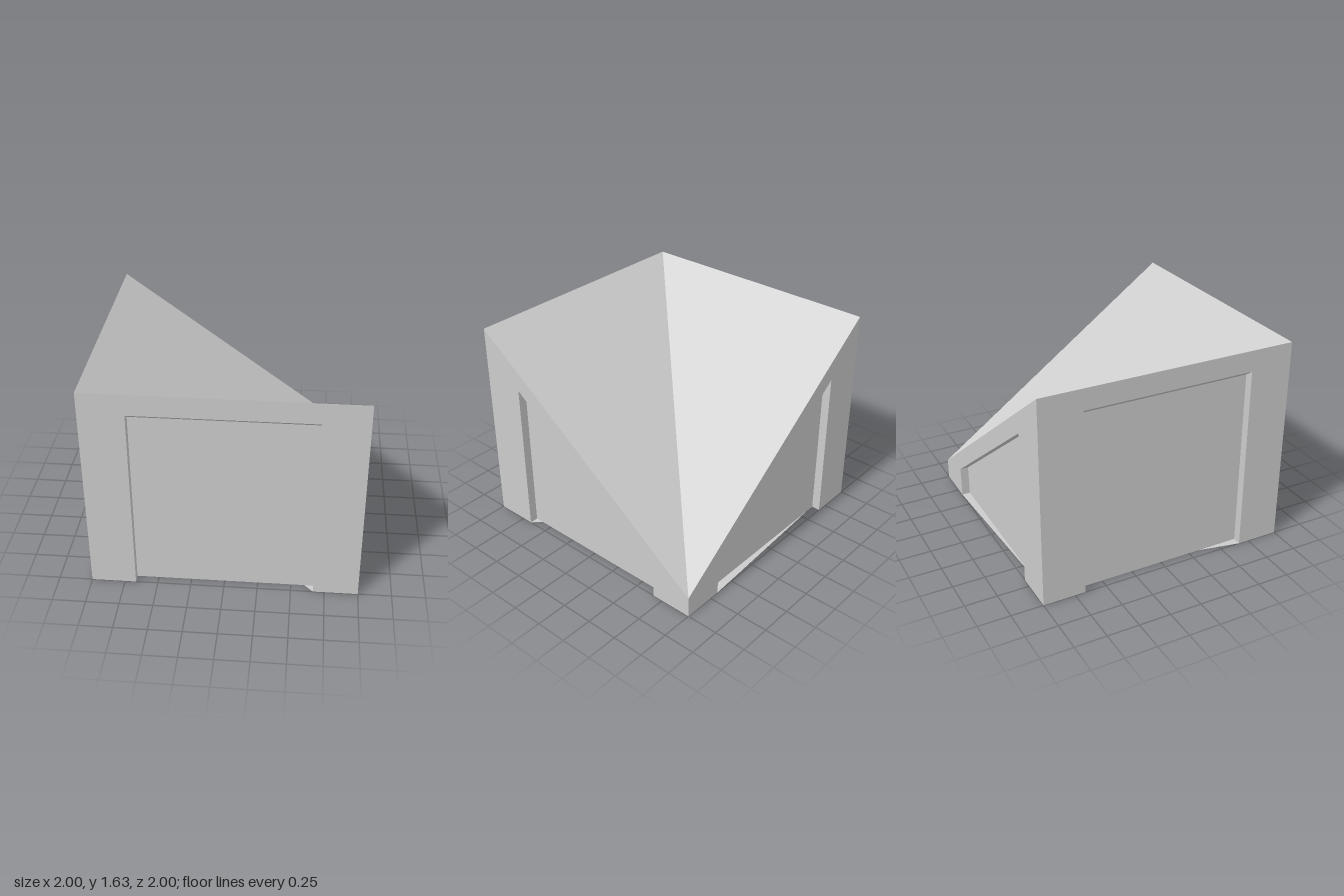
import * as THREE from 'three';

const W = 2 / 3;      // half width of each opening
const D = 1 / 15;     // depth of each recess
const BAND = 0.163;   // height of the band between opening and roof

// Roof height: two slopes meeting in a diagonal valley
const roofY = (x, z) => 0.9 + 0.7333 * Math.max(z, -x);

// Each side maps u (left to right seen from outside) and depth d to [x, z];
// lip is the [u of corner, u of tip] of the small floor wedge in its opening
const sides = [
  { name: 'front', at: (u, d) => [u, 1 - d], lip: [W, 0.6] },
  { name: 'right', at: (u, d) => [1 - d, -u], lip: [-W, -0.6] },
  { name: 'back', at: (u, d) => [-u, d - 1], lip: [-W, 0.6] },
  { name: 'left', at: (u, d) => [d - 1, u], lip: [W, 1 / 3] },
];

// Flat-shaded mesh from counter-clockwise quads or triangles
function facesMesh(name, faces, material) {
  const pos = [];
  for (const f of faces)
    for (let i = 1; i < f.length - 1; i++) pos.push(...f[0], ...f[i], ...f[i + 1]);
  const geo = new THREE.BufferGeometry();
  geo.setAttribute('position', new THREE.Float32BufferAttribute(pos, 3));
  geo.computeVertexNormals();
  const mesh = new THREE.Mesh(geo, material);
  mesh.name = name;
  return mesh;
}

export function createModel() {
  const group = new THREE.Group();
  group.name = 'slopedRoofBlock';
  const mat = new THREE.MeshStandardMaterial({ color: 0xcccccc, flatShading: true });
  const thin = mat.clone();
  thin.side = THREE.DoubleSide;

  for (const { name, at } of sides) {
    // Points on the ground, under the band and at the roof edge
    const point = (u, d, level) => {
      const [x, z] = at(u, d);
      const y = level === 'ground' ? 0 : roofY(x, z) - (level === 'band' ? BAND : 0);
      return [x, y, z];
    };
    // Upright face between two plan points
    const upright = (u0, d0, u1, d1, low, high) => [
      point(u0, d0, low), point(u1, d1, low), point(u1, d1, high), point(u0, d0, high),
    ];

    // Piers and the band over the opening
    group.add(facesMesh(name + 'Wall', [
      upright(-1, 0, -W, 0, 'ground', 'roof'),
      upright(W, 0, 1, 0, 'ground', 'roof'),
      upright(-W, 0, W, 0, 'band', 'roof'),
    ], mat));

    // Jambs and the sloping soffit
    group.add(facesMesh(name + 'Reveal', [
      upright(-W, 0, -W, D, 'ground', 'band'),
      upright(W, D, W, 0, 'ground', 'band'),
      [point(-W, D, 'band'), point(W, D, 'band'), point(W, 0, 'band'), point(-W, 0, 'band')],
    ], mat));

    // Recessed panel
    group.add(facesMesh(name + 'Panel', [upright(-W, D, W, D, 'ground', 'band')], mat));
  }

  // Folded roof, three high corners and one low
  const corner = (x, z) => [x, roofY(x, z), z];
  group.add(facesMesh('roof', [
    [corner(-1, 1), corner(1, 1), corner(1, -1)],
    [corner(-1, 1), corner(1, -1), corner(-1, -1)],
  ], mat));

  // Floor, notched at each opening with a wedge left at one corner
  const outline = [];
  for (const { at, lip: [cornerU, tipU] } of sides) {
    const left = cornerU < 0;
    outline.push(at(-1, 0), at(-W, 0), at(left ? tipU : -W, D), at(left ? W : tipU, D), at(W, 0));
  }
  const shape = new THREE.Shape(outline.map(([x, z]) => new THREE.Vector2(x, z)));
  const floor = new THREE.Mesh(new THREE.ShapeGeometry(shape).rotateX(Math.PI / 2), thin);
  floor.name = 'floor';
  group.add(floor);

  return group;
}
